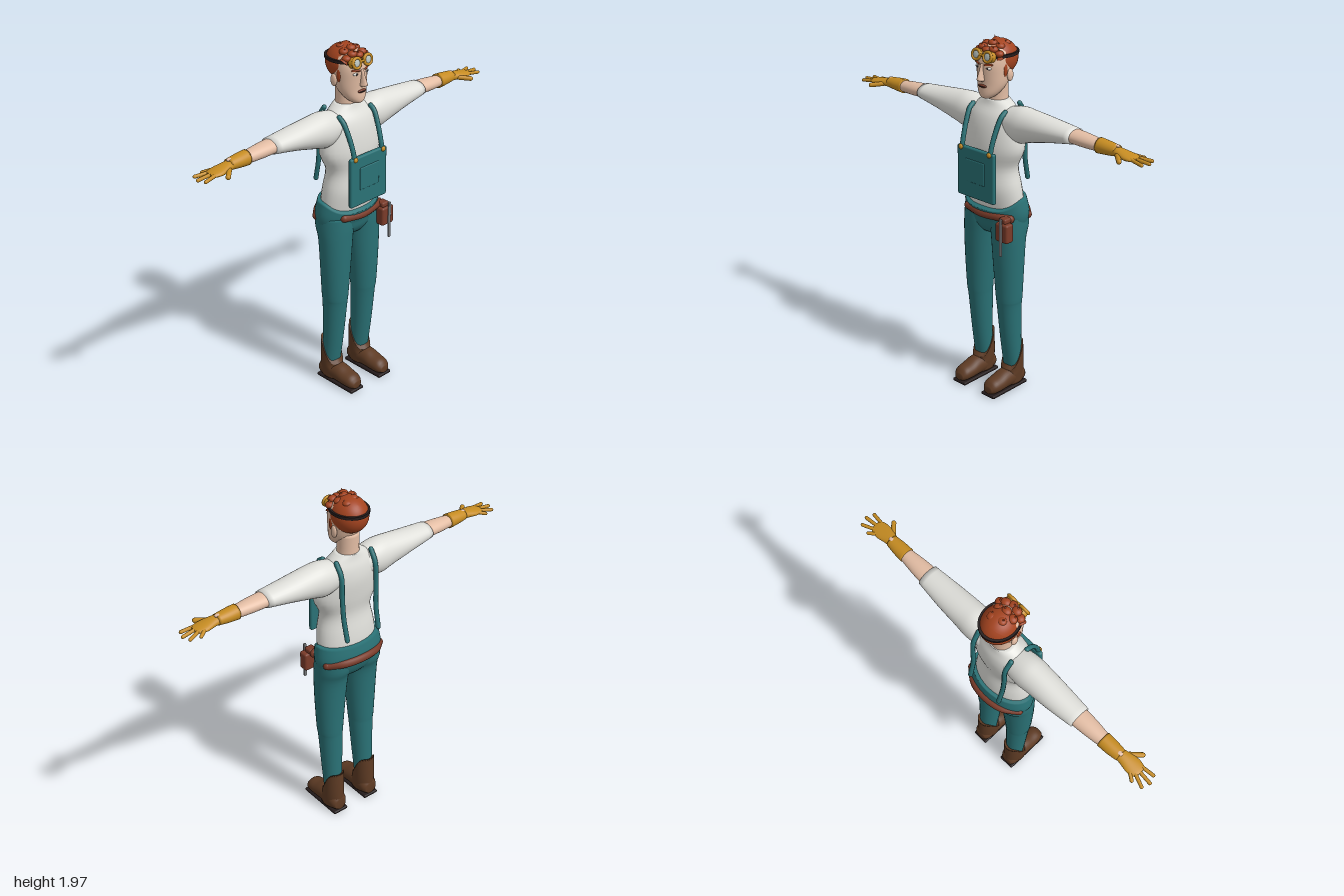
import * as THREE from 'three';
import { mergeVertices } from 'three/addons/utils/BufferGeometryUtils.js';
import { RoundedBoxGeometry } from 'three/addons/geometries/RoundedBoxGeometry.js';

const mat = (name, color) => {
  const m = new THREE.MeshStandardMaterial({ color });
  m.name = name;
  return m;
};
const V = (x, y, z) => new THREE.Vector3(x, y, z);

// Closed skin over oval sections. Each row: [t, a0, a1, b0, b1], the bounds of the oval.
// Axis y: a = x, b = z.  Axis x: a = z, b = y.  Axis z: a = y, b = x.
function loft(rows, axis = 'y', seg = 32, steps = 4, rule = null) {
  const rings = [];
  for (let i = 0; i < rows.length - 1; i++) {
    const at = k => rows[Math.min(Math.max(k, 0), rows.length - 1)];
    for (let s = 0; s < steps; s++) {
      const u = s / steps;
      rings.push(rows[i].map((p1, c) => {
        const p0 = at(i - 1)[c], p2 = at(i + 1)[c], p3 = at(i + 2)[c];
        return p1 + 0.5 * u * (p2 - p0 + u * (2 * p0 - 5 * p1 + 4 * p2 - p3 + u * (3 * (p1 - p2) + p3 - p0)));
      }));
    }
  }
  rings.push(rows[rows.length - 1]);
  const mid = ([t, a, b, c, d]) => [t, (a + b) / 2, (a + b) / 2, (c + d) / 2, (c + d) / 2];
  rings.unshift(mid(rings[0]));
  rings.push(mid(rings[rings.length - 1]));
  const pos = [], idx = [];
  rings.forEach(([t, a0, a1, b0, b1], i) => {
    for (let j = 0; j < seg; j++) {
      const th = j / seg * Math.PI * 2;
      const a = (a0 + a1) / 2 + (a1 - a0) / 2 * Math.cos(th);
      const b = (b0 + b1) / 2 + (b1 - b0) / 2 * Math.sin(th);
      const p = axis === 'y' ? V(a, t, b) : axis === 'x' ? V(t, b, a) : V(b, a, t);
      if (rule) rule(p);
      pos.push(p.x, p.y, p.z);
      if (i < rings.length - 1) {
        const k = (j + 1) % seg, o = i * seg, q = o + seg;
        idx.push(o + j, q + j, o + k, q + j, q + k, o + k);
      }
    }
  });
  const g = new THREE.BufferGeometry();
  g.setAttribute('position', new THREE.Float32BufferAttribute(pos, 3));
  g.setIndex(idx);
  g.computeVertexNormals();
  return g;
}
// Symmetric rows [y, halfWidth, zBack, zFront]
const sym = rows => rows.map(([y, w, b, f]) => [y, -w, w, b, f]);

// Copy across x = 0 with the corner order turned round
function mirrored(geo) {
  const g = mergeVertices(geo).scale(-1, 1, 1);
  const ix = g.index.array;
  for (let i = 0; i < ix.length; i += 3) [ix[i], ix[i + 1]] = [ix[i + 1], ix[i]];
  return g;
}
const ball = (x, y, z, rx, ry, rz) => new THREE.SphereGeometry(1, 18, 12).scale(rx, ry, rz).translate(x, y, z);
const tube = (pts, r) => new THREE.TubeGeometry(new THREE.CatmullRomCurve3(pts), 28, r, 10);

function capsule(p, q, r) {
  const d = q.clone().sub(p);
  const g = new THREE.CapsuleGeometry(r, d.length() - r, 4, 10);
  g.applyQuaternion(new THREE.Quaternion().setFromUnitVectors(V(0, 1, 0), d.clone().normalize()));
  return g.translate(...p.clone().add(q).multiplyScalar(0.5).toArray());
}

export function createModel() {
  const root = new THREE.Group();
  root.name = 'workman';
  const teal = mat('teal denim', 0x2a7276), white = mat('white cotton', 0xdfdfda), skin = mat('skin', 0xe3bda4);
  const gold = mat('glove yellow', 0xc68c22), red = mat('red hair', 0xa3431f), brown = mat('boot brown', 0x5e3b24);
  const black = mat('black rubber', 0x241b1b), leather = mat('belt leather', 0x7a3b29);
  const steel = mat('steel', 0x96999a), glass = mat('lens glass', 0xb9c4c0);
  const add = (name, geo, m) => {
    const mesh = new THREE.Mesh(geo, m);
    mesh.name = name;
    root.add(mesh);
  };
  const pair = (name, geo, m) => {
    add(name + 'Left', geo, m);
    add(name + 'Right', mirrored(geo), m);
  };

  // Shirt and sleeves
  add('shirt', loft(sym([[1.05, .175, -.12, .08], [1.13, .175, -.122, .098], [1.2, .168, -.115, .107],
    [1.3, .152, -.1, .1], [1.4, .193, -.112, .105], [1.5, .18, -.12, .095], [1.57, .16, -.112, .075],
    [1.62, .115, -.095, .045], [1.65, .068, -.088, .034]])), white);
  pair('sleeve', loft([[.06, -.1, .05, 1.48, 1.61], [.17, -.11, .064, 1.445, 1.637], [.25, -.106, .062, 1.462, 1.634],
    [.38, -.1, .052, 1.495, 1.62], [.53, -.085, .038, 1.525, 1.605]], 'x'), white);

  // Forearms and gloves
  pair('forearm', loft([[.5, -.078, .03, 1.53, 1.602], [.6, -.07, .026, 1.526, 1.597], [.71, -.055, .014, 1.527, 1.586]], 'x'), skin);
  pair('gloveCuff', loft([[.685, -.062, .021, 1.518, 1.598], [.74, -.06, .02, 1.523, 1.593], [.8, -.052, .014, 1.53, 1.586]], 'x'), gold);
  pair('glovePalm', loft([[.78, -.048, .012, 1.532, 1.582], [.82, -.05, .022, 1.532, 1.577], [.87, -.058, .032, 1.53, 1.568],
    [.91, -.052, .026, 1.534, 1.56], [.925, -.038, .014, 1.54, 1.555]], 'x'), gold);
  pair('wristOpening', ball(.79, 1.581, -.02, .02, .007, .014), skin);
  const fingers = [[.885, -.046, .925, -.072], [.9, -.03, .98, -.06], [.9, -.01, .995, -.017], [.895, .012, .98, .024]];
  fingers.forEach(([x0, z0, x1, z1], i) =>
    pair('finger' + (i + 1), capsule(V(x0, 1.55, z0), V(x1, 1.54, z1), .0095), gold));
  pair('thumb', capsule(V(.82, 1.55, .012), V(.875, 1.542, .066), .013), gold);

  // Trousers, with a waist that dips at the front
  add('trouserHips', loft(sym([[.92, .13, -.09, .05], [.96, .178, -.122, .076], [1.01, .198, -.142, .088],
    [1.06, .202, -.15, .098], [1.13, .19, -.138, .106]]), 'y', 40, 4, p => {
    if (p.y > 1) p.y -= .06 * THREE.MathUtils.smoothstep(p.z, -.02, .1) * (p.y - 1) / .13;
  }), teal);
  pair('trouserLeg', loft([[.1, .057, .16, -.084, .006], [.3, .05, .165, -.08, .036], [.5, .04, .173, -.078, .058],
    [.56, .035, .18, -.08, .065], [.75, .018, .19, -.088, .075], [.9, .004, .195, -.1, .08],
    [.97, -.01, .197, -.125, .082], [1.04, -.02, .195, -.13, .08]]), teal);

  // Boots, cut lower at the front of the shaft
  pair('bootShaft', loft([[.03, .056, .163, -.102, .05], [.1, .051, .167, -.102, .04], [.18, .05, .167, -.1, .03],
    [.27, .05, .166, -.097, .03]], 'y', 28, 4, p => {
    p.y -= .15 * Math.max(0, p.y - .08) / .19 * THREE.MathUtils.smoothstep(p.z, -.085, .02);
  }), brown);
  pair('bootFoot', loft([[-.103, .02, .09, .075, .145], [-.07, .012, .12, .056, .162], [.03, .012, .12, .055, .163],
    [.09, .012, .102, .055, .163], [.14, .012, .09, .062, .156], [.166, .022, .06, .082, .136]], 'z'), brown);
  pair('bootSole', new RoundedBoxGeometry(.094, .018, .274, 2, .007).translate(.109, .009, .03), black);

  // Bib with pocket, buttons and shoulder straps
  add('bib', new RoundedBoxGeometry(.26, .277, .026, 3, .01).translate(0, 1.267, .127), teal);
  add('bibPocket', new RoundedBoxGeometry(.135, .125, .012, 2, .005).translate(0, 1.28, .139), teal);
  pair('bibButton', ball(.1, 1.398, .142, .014, .014, .009), gold);
  const frontStrap = [V(.1, 1.39, .133), V(.101, 1.44, .122), V(.106, 1.52, .095), V(.112, 1.585, .062), V(.113, 1.605, .035)];
  const backStrap = [V(.112, 1.63, -.075), V(.11, 1.57, -.112), V(.11, 1.44, -.12), V(.106, 1.32, -.127), V(.103, 1.2, -.152)];
  pair('frontStrap', tube(frontStrap, .013), teal);
  pair('backStrap', tube(backStrap, .013), teal);
  [frontStrap[4], backStrap[0], backStrap[4]].forEach(p => pair('strapEnd', ball(p.x, p.y, p.z, .013, .013, .013), teal));

  // Belt, pouch and tool
  const beltFront = [V(-.115, 1.045, .072), V(0, 1.038, .09), V(.11, 1.04, .074), V(.165, 1.035, .05)];
  const beltBack = [V(.175, 1.03, -.075), V(.1, 1.043, -.132), V(0, 1.048, -.15), V(-.1, 1.043, -.132), V(-.175, 1.03, -.075)];
  [['beltFront', beltFront], ['beltBack', beltBack]].forEach(([name, pts]) => {
    add(name, tube(pts, .022), leather);
    [pts[0], pts[pts.length - 1]].forEach(p => add(name + 'End', ball(p.x, p.y, p.z, .022, .022, .022), leather));
  });
  add('pouch', new RoundedBoxGeometry(.085, .105, .055, 3, .012).translate(.165, .977, .095), leather);
  add('pouchFlap', new RoundedBoxGeometry(.05, .03, .05, 2, .01).translate(.16, 1.04, .085), leather);
  add('toolBlade', new RoundedBoxGeometry(.016, .21, .012, 2, .004).translate(.168, .955, .126), steel);

  // Neck and head
  add('neck', loft(sym([[1.6, .066, -.088, .03], [1.66, .058, -.084, .028], [1.76, .06, -.085, .03]])), skin);
  add('head', loft(sym([[1.664, .022, .03, .07], [1.675, .04, 0, .083], [1.7, .062, -.03, .086], [1.74, .08, -.07, .084],
    [1.79, .086, -.09, .086], [1.85, .088, -.105, .087], [1.9, .082, -.105, .068], [1.935, .055, -.08, .03]])), skin);
  add('nose', loft(sym([[1.756, .007, .07, .09], [1.767, .017, .07, .117], [1.782, .014, .07, .118],
    [1.82, .009, .07, .103], [1.85, .011, .07, .092]]), 'y', 16), skin);
  pair('ear', ball(.089, 1.785, -.028, .011, .034, .021), skin);
  add('lips', ball(0, 1.733, .084, .028, .009, .01), leather);
  add('mouthLine', ball(0, 1.733, .09, .024, .0025, .006), black);
  pair('eye', ball(.036, 1.829, .075, .017, .008, .01), white);
  pair('pupil', ball(.036, 1.829, .083, .006, .006, .004), black);
  pair('eyebrow', capsule(V(.018, 1.846, .086), V(.058, 1.85, .07), .005), red);

  // Hair cap: a ball cut flat below the hairline and tilted back
  const cap = new THREE.SphereGeometry(1, 36, 28), cp = cap.attributes.position;
  for (let i = 0; i < cp.count; i++) if (cp.getY(i) < -.4) cp.setY(i, -.4);
  cap.rotateX(-.69).scale(.094, .097, .107).translate(0, 1.86, -.038);
  cap.computeVertexNormals();
  add('hairCap', cap, red);
  pair('sideburn', ball(.084, 1.815, .002, .007, .035, .014), red);
  // Tousled locks over the crown and brow
  const locks = [[-.06, 1.915, .035], [-.03, 1.935, .045], [.005, 1.925, .055], [.04, 1.93, .042], [.066, 1.91, .03],
    [-.045, 1.94, 0], [0, 1.95, .005], [.04, 1.938, -.005], [-.02, 1.95, -.045], [.03, 1.943, -.06]];
  locks.forEach(([x, y, z], i) => {
    const g = new THREE.ConeGeometry(.024, .055, 10);
    g.rotateX(i % 2 ? .7 : .2).rotateZ(i % 3 * .6 - .7).translate(x, y - .006, z);
    add('hairLock', g, red);
    add('hairTuft', ball(x, y - .008, z, .026, .018, .024), red);
  });

  // Goggles on the forehead
  add('goggleBand', new THREE.CylinderGeometry(1, 1, .016, 40).scale(.098, 1, .114).translate(0, 1.888, -.036), black);
  const tilt = g => g.rotateX(-.2).translate(.039, 1.892, .086);
  pair('goggleRim', tilt(new THREE.TorusGeometry(.026, .008, 10, 28)), gold);
  pair('goggleCup', tilt(new THREE.CylinderGeometry(.027, .03, .03, 24).rotateX(Math.PI / 2).translate(0, 0, -.016)), gold);
  pair('goggleLens', tilt(ball(0, 0, 0, .022, .022, .006)), glass);
  add('goggleBridge', capsule(V(-.014, 1.895, .088), V(.014, 1.895, .088), .006), gold);
  return root;
}
